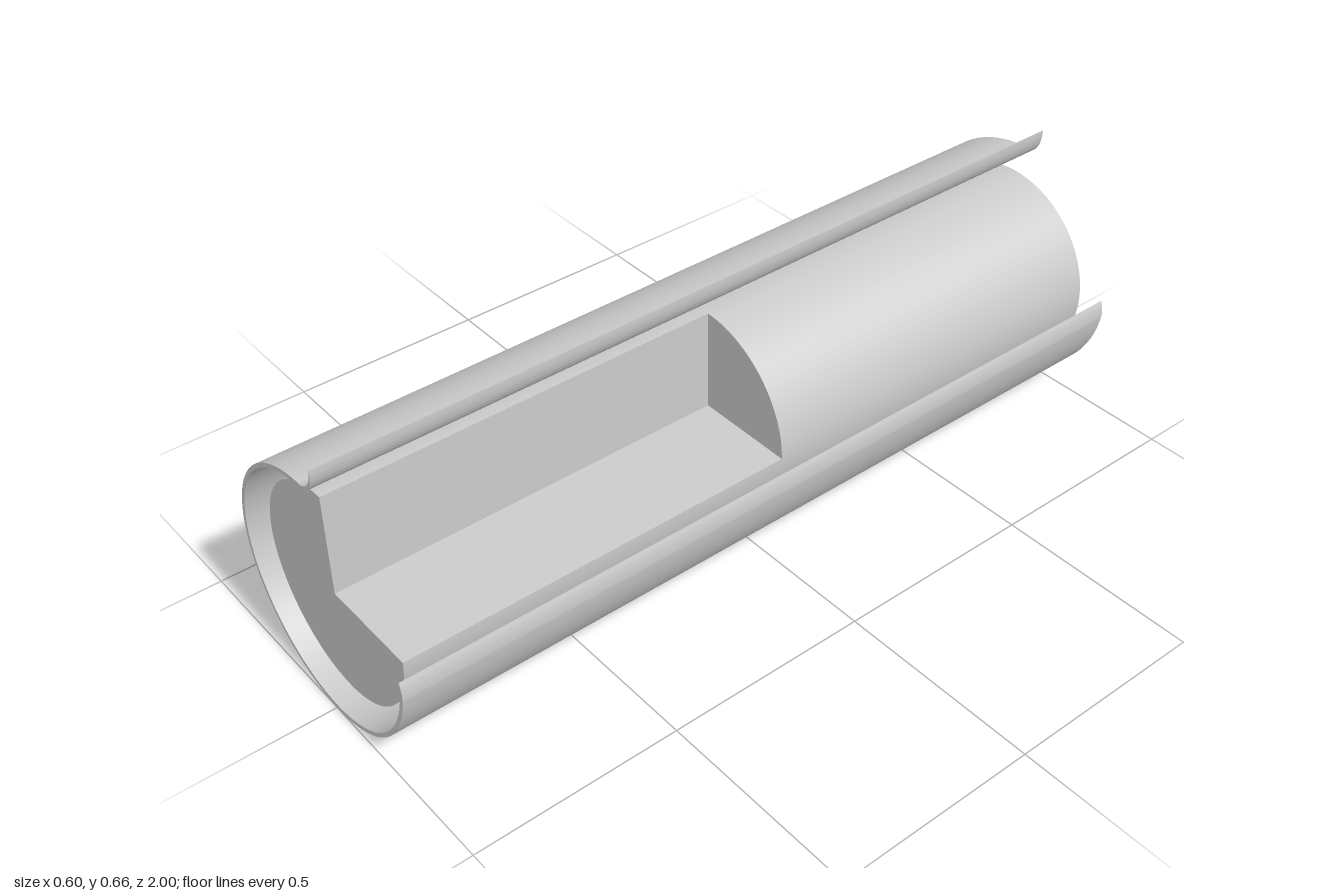
import * as THREE from 'three';
import { toCreasedNormals } from 'three/addons/utils/BufferGeometryUtils.js';

const AXIS_Y = 0.3; // height of the common axis
const CORE_R = 0.25;
const CORE_END = 0.965; // half length of the core
const SHELL_R = 0.3;
const SHELL_INNER = 0.29;

export function createModel() {
  const model = new THREE.Group();
  const material = new THREE.MeshStandardMaterial({ color: 0xcccccc });
  const add = (parent, name, geometry, x = 0, y = 0, z = 0) => {
    const mesh = new THREE.Mesh(geometry, material);
    mesh.name = name;
    mesh.position.set(x, y, z);
    parent.add(mesh);
  };

  // Solid core with one quarter cut away over its front half
  const core = new THREE.Group();
  core.name = 'core';
  core.position.y = AXIS_Y;
  model.add(core);

  const wall = (start, length) =>
    new THREE.CylinderGeometry(CORE_R, CORE_R, CORE_END, 96, 1, true, start, length).rotateX(Math.PI / 2);
  add(core, 'coreBackWall', wall(0, Math.PI * 2), 0, 0, -CORE_END / 2);
  add(core, 'coreFrontWall', wall(Math.PI, Math.PI * 1.5), 0, 0, CORE_END / 2);

  add(core, 'coreBackEnd', new THREE.CircleGeometry(CORE_R, 96).rotateY(Math.PI), 0, 0, -CORE_END);
  add(core, 'coreFrontEnd', new THREE.CircleGeometry(CORE_R, 96, Math.PI / 2, Math.PI * 1.5), 0, 0, CORE_END);

  // The three flat faces of the cutaway
  add(core, 'cutawayEnd', new THREE.CircleGeometry(CORE_R, 32, 0, Math.PI / 2));
  add(core, 'cutawaySide', new THREE.PlaneGeometry(CORE_END, CORE_R).rotateY(Math.PI / 2), 0, CORE_R / 2, CORE_END / 2);
  add(core, 'cutawayFloor', new THREE.PlaneGeometry(CORE_R, CORE_END).rotateX(-Math.PI / 2), CORE_R / 2, 0, CORE_END / 2);

  // Thin open shell: tapered lower edge, three-quarter wall, flared upper lip
  const taper = -0.13;
  const profile = new THREE.Shape();
  profile.moveTo(SHELL_INNER, AXIS_Y);
  profile.quadraticCurveTo(0.297, 0.285, SHELL_R * Math.cos(taper), AXIS_Y + SHELL_R * Math.sin(taper));
  profile.absarc(0, AXIS_Y, SHELL_R, taper, Math.PI / 2, true);
  profile.bezierCurveTo(0.028, 0.606, 0.046, 0.632, 0.048, 0.665);
  profile.lineTo(0.049, 0.665);
  profile.bezierCurveTo(0.051, 0.63, 0.036, 0.597, 0, SHELL_INNER + AXIS_Y);
  profile.absarc(0, AXIS_Y, SHELL_INNER, Math.PI / 2, Math.PI * 2, false);

  const shell = new THREE.ExtrudeGeometry(profile, { depth: 2, bevelEnabled: false, curveSegments: 72 });
  add(model, 'shell', toCreasedNormals(shell, 0.3), 0, 0, -1);

  return model;
}
